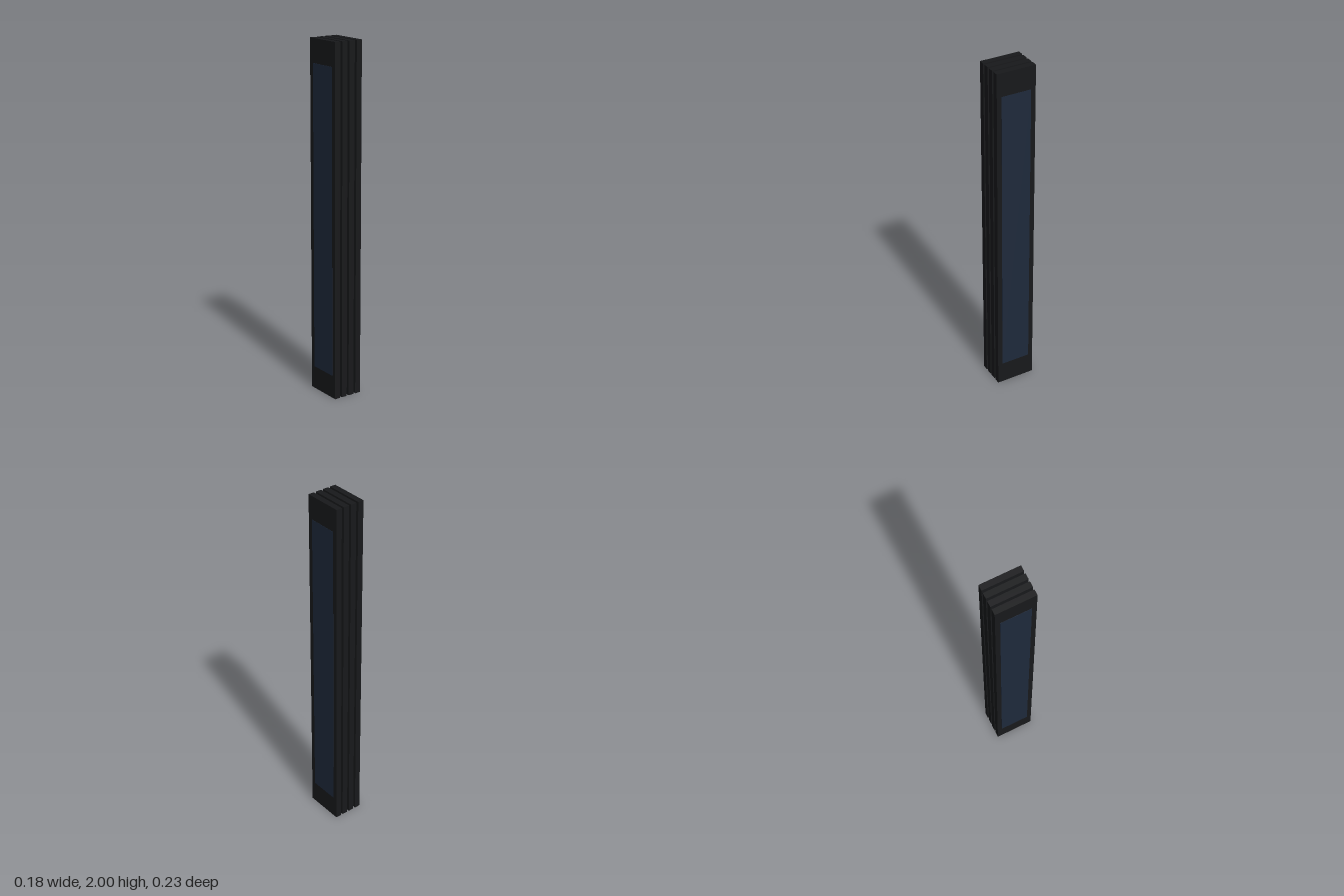
import * as THREE from 'three';

export function createModel() {
  const model = new THREE.Group();
  model.name = 'panelStack';

  const frameMaterial = new THREE.MeshStandardMaterial({ color: 0x18191b });
  const panelMaterial = new THREE.MeshStandardMaterial({ color: 0x1e293b });

  const frameGeometry = new THREE.BoxGeometry(0.0335, 2, 0.227);
  const panelGeometry = new THREE.BoxGeometry(0.002, 1.734, 0.172);

  const count = 4;
  const spacing = 0.0466;

  for (let i = 0; i < count; i++) {
    const slab = new THREE.Group();
    slab.name = `slab${i + 1}`;
    slab.position.set((i - (count - 1) / 2) * spacing, 1, 0);

    // Upright dark slab
    const frame = new THREE.Mesh(frameGeometry, frameMaterial);
    frame.name = 'frame';
    slab.add(frame);

    // Thin raised panel on each broad side
    for (const side of [-1, 1]) {
      const panel = new THREE.Mesh(panelGeometry, panelMaterial);
      panel.name = side > 0 ? 'leftPanel' : 'rightPanel';
      panel.position.x = side * 0.0173;
      slab.add(panel);
    }
    model.add(slab);
  }
  return model;
}
